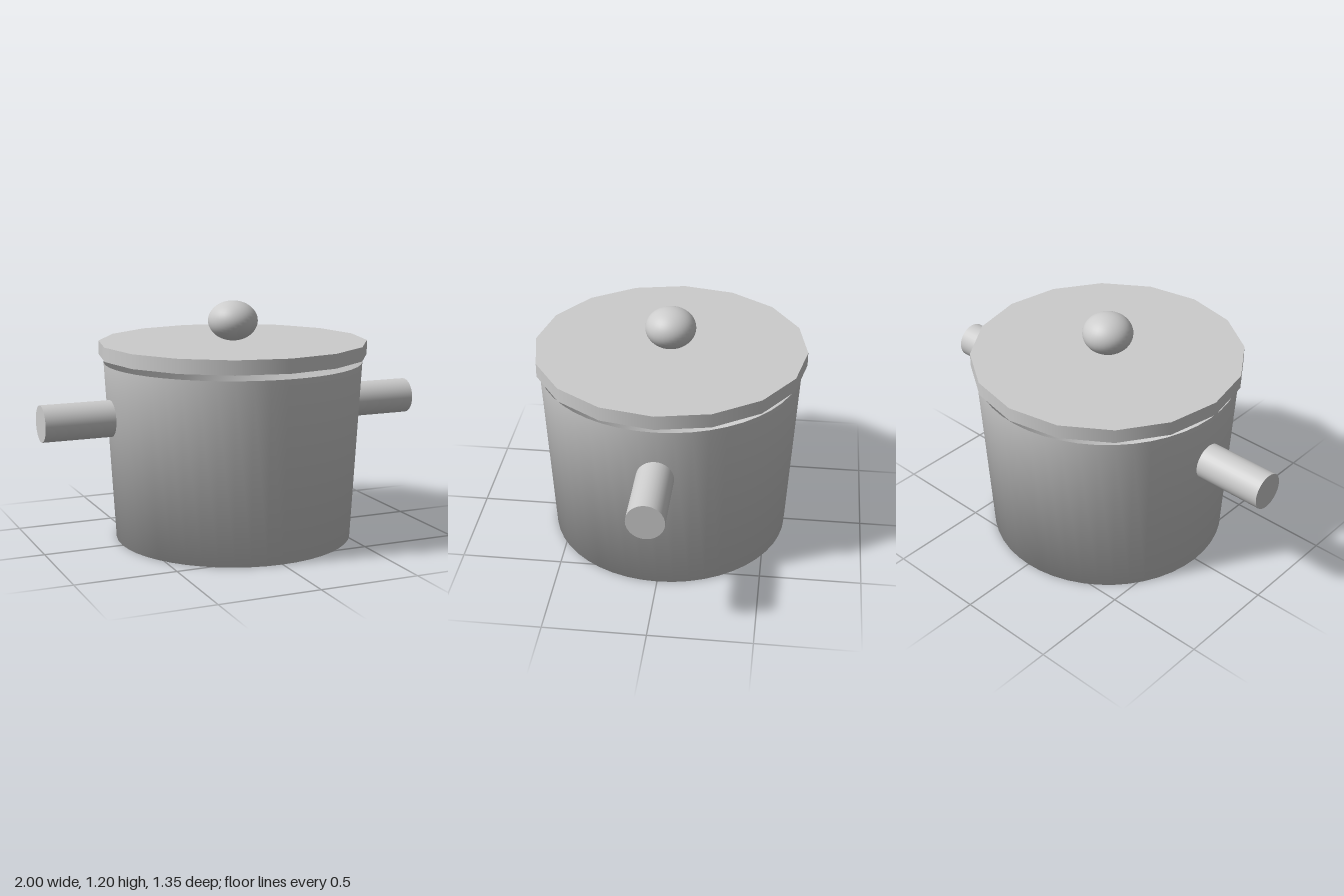
import * as THREE from 'three';

export function createModel() {
  const pot = new THREE.Group();
  pot.name = 'cookingPot';

  const metal = new THREE.MeshStandardMaterial({ color: 0xcccccc, side: THREE.DoubleSide });
  metal.name = 'grey metal';

  const add = (name, geometry, x, y) => {
    const mesh = new THREE.Mesh(geometry, metal);
    mesh.name = name;
    mesh.position.set(x, y, 0);
    pot.add(mesh);
    return mesh;
  };

  // Open tapered body with a flat base, smooth across the base corner
  const profile = [[0, 0], [0.6, 0], [0.65, 0.9]].map(([r, y]) => new THREE.Vector2(r, y));
  add('body', new THREE.LatheGeometry(profile, 48), 0, 0);

  // Sixteen-sided lid hovering just above the rim, with a squashed knob
  add('lid', new THREE.CylinderGeometry(0.675, 0.675, 0.07, 16), 0, 0.965);
  add('lidKnob', new THREE.SphereGeometry(0.125, 32, 24), 0, 1.1).scale.y = 0.8;

  // Straight round handles, one on each side
  for (const [name, side] of [['leftHandle', 1], ['rightHandle', -1]]) {
    const geometry = new THREE.CylinderGeometry(0.09, 0.09, 0.35, 32).rotateZ(Math.PI / 2);
    add(name, geometry, side * 0.825, 0.65);
  }

  return pot;
}
